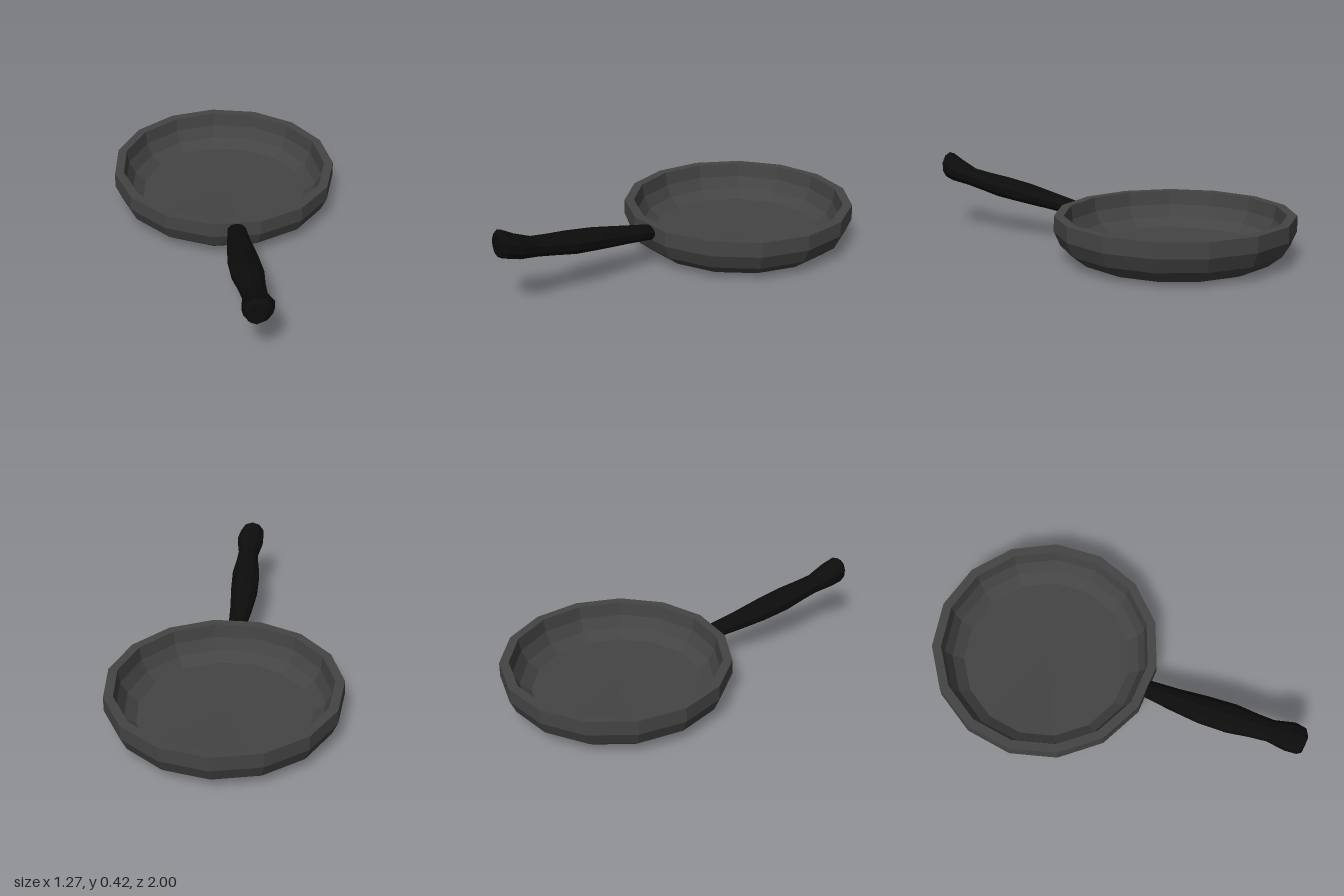
import * as THREE from 'three';

// Closed tube through sections [x, y, z, halfWidth, halfHeight]
function loft(sections, side, sides) {
  const pos = [], index = [];
  for (const [x, y, z, w, h] of sections) {
    for (let j = 0; j < sides; j++) {
      const a = ((j + 0.5) / sides) * Math.PI * 2;
      const s = Math.cos(a) * w;
      pos.push(x + side.x * s, y + Math.sin(a) * h, z + side.z * s);
    }
  }
  for (let i = 0; i < sections.length - 1; i++) {
    for (let j = 0; j < sides; j++) {
      const a = i * sides + j, b = i * sides + (j + 1) % sides;
      index.push(a, b, b + sides, a, b + sides, a + sides);
    }
  }
  const geo = new THREE.BufferGeometry();
  geo.setAttribute('position', new THREE.Float32BufferAttribute(pos, 3));
  geo.setIndex(index);
  geo.computeVertexNormals();
  return geo;
}

export function createModel() {
  const model = new THREE.Group();
  model.name = 'fryingPan';

  // Fifteen-sided bowl: underside, outer wall, rim, inner wall, floor
  const profile = [
    [0, 0], [0.475, 0], [0.515, 0.016], [0.59, 0.075], [0.622, 0.15], [0.62, 0.23],
    [0.57, 0.23], [0.56, 0.155], [0.525, 0.09], [0.465, 0.045], [0, 0.04],
  ].map(([r, y]) => new THREE.Vector2(r, y));
  const bowl = new THREE.Mesh(
    new THREE.LatheGeometry(profile, 15, Math.PI),
    new THREE.MeshStandardMaterial({ color: 0x444444, flatShading: true })
  );
  bowl.name = 'bowl';
  bowl.position.set(-0.015, 0, -0.38);
  model.add(bowl);

  // Swelling handle with a knob at its far end
  const sections = [
    [0.227, 0.19, 0.16, 0, 0],
    [0.227, 0.19, 0.16, 0.036, 0.028],
    [0.235, 0.19, 0.18, 0.05, 0.04],
    [0.29, 0.212, 0.32, 0.064, 0.046],
    [0.355, 0.237, 0.47, 0.08, 0.054],
    [0.425, 0.26, 0.615, 0.083, 0.057],
    [0.475, 0.28, 0.72, 0.068, 0.053],
    [0.515, 0.297, 0.805, 0.061, 0.051],
    [0.557, 0.327, 0.9, 0.081, 0.064],
    [0.574, 0.35, 0.96, 0.071, 0.074],
    [0.575, 0.348, 0.983, 0.045, 0.06],
    [0.575, 0.348, 0.983, 0, 0],
  ];
  const handle = new THREE.Mesh(
    loft(sections, new THREE.Vector3(0.91, 0, -0.41), 10),
    new THREE.MeshStandardMaterial({ color: 0x0c0c0c, flatShading: true })
  );
  handle.name = 'handle';
  model.add(handle);

  return model;
}
